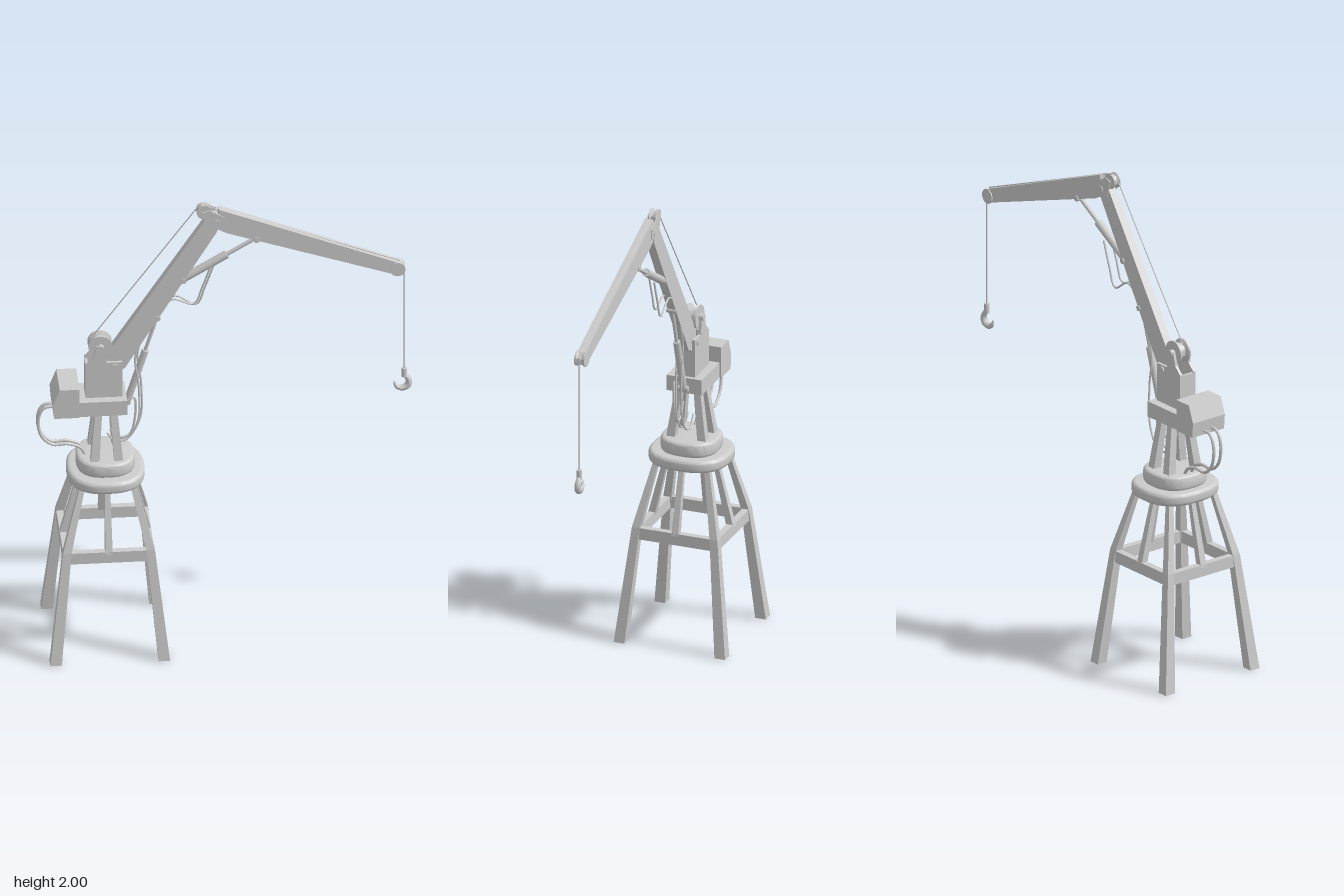
import * as THREE from 'three';
import { toCreasedNormals } from 'three/addons/utils/BufferGeometryUtils.js';

const mat = new THREE.MeshStandardMaterial({ color: 0xcccccc });
const V = (x, y, z = 0) => new THREE.Vector3(x, y, z);
const CX = -0.478; // axis of the pedestal

export function createModel() {
  const root = new THREE.Group();
  const add = (name, geo, parent = root) => {
    const m = new THREE.Mesh(geo, mat);
    m.name = name;
    parent.add(m);
    return m;
  };
  const group = (name) => {
    const g = new THREE.Group();
    g.name = name;
    root.add(g);
    return g;
  };
  const box = (name, w, h, d, x, y, z, parent) =>
    add(name, new THREE.BoxGeometry(w, h, d), parent).position.set(x, y, z);

  // Tapered square strut with level ends
  const strut = (name, a, b, wa, wb, parent) => {
    const g = new THREE.BoxGeometry(1, 1, 1), p = g.attributes.position;
    for (let i = 0; i < p.count; i++) {
      const [e, w] = p.getY(i) < 0 ? [a, wa] : [b, wb];
      p.setXYZ(i, e.x + p.getX(i) * w, e.y, e.z + p.getZ(i) * w);
    }
    g.computeVertexNormals();
    return add(name, g, parent);
  };
  // Round bar between two points
  const rod = (name, a, b, r, parent, sides = 12) => {
    const m = add(name, new THREE.CylinderGeometry(r, r, a.distanceTo(b), sides), parent);
    m.position.copy(a).lerp(b, 0.5);
    m.quaternion.setFromUnitVectors(V(0, 1, 0), b.clone().sub(a).normalize());
    return m;
  };
  // Side profile extruded evenly about z
  const plate = (name, pts, depth, z = 0, parent = root) => {
    const s = new THREE.Shape(pts.map(([x, y]) => new THREE.Vector2(x, y)));
    const g = new THREE.ExtrudeGeometry(s, { depth, bevelEnabled: false });
    return add(name, g.translate(0, 0, z - depth / 2), parent);
  };
  const hose = (name, pts, r, parent) =>
    add(name, new THREE.TubeGeometry(new THREE.CatmullRomCurve3(pts), 60, r, 8), parent);
  // Grooved wheel turned around z
  const wheel = (name, x, y, r, half, groove, parent) => {
    const prof = [[0, -half], [r, -half], [r, -half * 0.7], [groove, -half * 0.4],
      [groove, half * 0.4], [r, half * 0.7], [r, half], [0, half]];
    const g = new THREE.LatheGeometry(prof.map(([a, b]) => new THREE.Vector2(a, b)), 28);
    return add(name, toCreasedNormals(g.rotateX(Math.PI / 2), 0.6).translate(x, y, 0), parent);
  };

  // Pedestal: bent legs, frame and middle struts
  const base = group('pedestal');
  for (const sx of [-1, 1]) for (const sz of [-1, 1]) {
    const knee = V(CX + sx * 0.168, 0.49, sz * 0.168);
    strut('lowerLeg', V(CX + sx * 0.218, 0, sz * 0.218), knee, 0.046, 0.034, base);
    strut('upperLeg', knee, V(CX + sx * 0.1, 0.77, sz * 0.108), 0.034, 0.022, base);
  }
  for (const s of [-1, 1]) {
    box('frameBeam', 0.33, 0.05, 0.028, CX, 0.465, s * 0.17, base);
    box('frameBeam', 0.028, 0.05, 0.33, CX + s * 0.17, 0.465, 0, base);
    strut('middleStrut', V(CX, 0.48, s * 0.17), V(CX, 0.77, s * 0.1), 0.03, 0.02, base);
    strut('middleStrut', V(CX + s * 0.17, 0.48, 0), V(CX + s * 0.1, 0.77, 0), 0.03, 0.02, base);
  }

  // Slewing platform: two stacked rounded-square discs
  const disc = (name, rx, rz, y, h) => {
    const b = 0.016, pts = [];
    const sq = (t) => Math.sign(t) * Math.abs(t) ** 0.78;
    for (let i = 0; i < 56; i++) {
      const a = (i / 56) * Math.PI * 2;
      pts.push(new THREE.Vector2(sq(Math.cos(a)) * (rx - b), sq(Math.sin(a)) * (rz - b)));
    }
    const g = new THREE.ExtrudeGeometry(new THREE.Shape(pts),
      { depth: h - 2 * b, bevelThickness: b, bevelSize: b, bevelSegments: 4 });
    g.rotateX(-Math.PI / 2).translate(CX, y + b, 0);
    add(name, toCreasedNormals(g, 0.7));
  };
  disc('lowerPlatform', 0.157, 0.168, 0.748, 0.052);
  disc('upperPlatform', 0.119, 0.12, 0.795, 0.063);

  // Column of four leaning posts
  const column = group('column');
  for (const sx of [-1, 1]) for (const sz of [-1, 1])
    strut('post', V(CX + sx * 0.048, 0.85, sz * 0.068), V(CX + sx * 0.03, 1.08, sz * 0.038), 0.036, 0.028, column);

  // Rotating deck and machinery housing
  plate('deck', [[-0.6, 1.067], [-0.395, 1.067], [-0.395, 1.133], [-0.6, 1.133]], 0.152);
  plate('machineHousing', [[-0.69, 1.067], [-0.588, 1.067], [-0.588, 1.2], [-0.668, 1.2], [-0.695, 1.13]], 0.164);

  // Tower with cheek plates and walls
  const tower = group('tower');
  for (const s of [-1, 1]) {
    plate('cheekPlate', [[-0.56, 1.08], [-0.412, 1.08], [-0.412, 1.295], [-0.475, 1.295],
      [-0.488, 1.37], [-0.515, 1.37], [-0.53, 1.315], [-0.56, 1.285]], 0.012, s * 0.034, tower);
  }
  box('rearWall', 0.012, 0.2, 0.06, -0.554, 1.18, 0, tower);
  box('frontWall', 0.012, 0.17, 0.06, -0.418, 1.165, 0, tower);
  box('innerFloor', 0.13, 0.1, 0.06, -0.486, 1.16, 0, tower);

  // Winch drum
  wheel('winchDrum', -0.499, 1.362, 0.049, 0.026, 0.034);
  rod('winchAxle', V(-0.499, 1.362, -0.045), V(-0.499, 1.362, 0.045), 0.014);

  // Main boom with pivot pin
  plate('mainBoom', [[-0.475, 1.25], [-0.402, 1.25], [-0.03, 1.875], [-0.014, 1.93], [-0.03, 1.958],
    [-0.06, 1.955], [-0.087, 1.915], [-0.452, 1.352], [-0.48, 1.3]], 0.036);
  rod('boomPivot', V(-0.445, 1.275, -0.046), V(-0.445, 1.275, 0.046), 0.014);

  // Jib
  plate('jib', [[-0.022, 1.885], [0.01, 1.868], [0.67, 1.643], [0.705, 1.637], [0.728, 1.65],
    [0.725, 1.67], [0.7, 1.692], [-0.022, 1.98]], 0.036);
  rod('jibPivot', V(-0.03, 1.92, -0.026), V(-0.03, 1.92, 0.026), 0.016);
  for (const s of [-1, 1])
    plate('hingePlate', [[-0.07, 1.9], [-0.03, 1.885], [0.005, 1.91], [0, 1.945], [-0.06, 1.98], [-0.09, 1.97]],
      0.005, s * 0.02);
  wheel('topPulley', -0.079, 1.968, 0.032, 0.016, 0.025);
  wheel('tipPulley', 0.698, 1.662, 0.031, 0.022, 0.024);

  // Hydraulic rams
  const ram = (name, a, b, split, r) => {
    const g = group(name), mid = a.clone().lerp(b, split);
    rod('barrel', a, mid, r, g);
    rod('piston', mid, b, r * 0.5, g);
    for (const e of [a, b]) rod('pin', V(e.x, e.y, -0.022), V(e.x, e.y, 0.022), r * 0.75, g);
  };
  ram('boomRam', V(-0.388, 1.09), V(-0.268, 1.48), 0.6, 0.015);
  ram('jibRam', V(-0.165, 1.652), V(0.13, 1.83), 0.6, 0.017);

  // Cables
  const cables = group('cables');
  rod('winchCable', V(-0.528, 1.4), V(-0.105, 1.988), 0.0025, cables, 6);
  rod('jibCable', V(-0.075, 1.998), V(0.71, 1.692), 0.0025, cables, 6);
  rod('hoistCable', V(0.726, 1.665), V(0.726, 1.17), 0.0025, cables, 6);

  // Hook block, hook and tip
  const hook = group('hook');
  rod('hookSocket', V(0.726, 1.145), V(0.726, 1.185), 0.011, hook);
  const bend = new THREE.CatmullRomCurve3([[0.726, 1.155], [0.738, 1.14], [0.745, 1.12], [0.737, 1.1],
    [0.715, 1.092], [0.695, 1.1], [0.684, 1.125]].map(([x, y]) => V(x, y)));
  const shank = new THREE.TubeGeometry(bend, 30, 0.012, 10);
  const p = shank.attributes.position;
  // Narrow the tube towards the point of the hook
  for (let i = 0; i < p.count; i++) {
    const t = Math.floor(i / 11) / 30, c = bend.getPointAt(t);
    const k = 0.7 + 0.5 * Math.sin(Math.PI * t) - 0.55 * t ** 4;
    p.setXYZ(i, c.x + (p.getX(i) - c.x) * k, c.y + (p.getY(i) - c.y) * k, p.getZ(i) * k);
  }
  shank.computeVertexNormals();
  add('hookBend', shank, hook);

  // Hoses: rear loops, and lines rising along the boom
  const hoses = group('hoses');
  for (const s of [-1, 1]) {
    hose('rearHose', [[-0.67, 1.085], [-0.725, 1.078], [-0.748, 1.03], [-0.735, 0.945], [-0.69, 0.905],
      [-0.63, 0.905], [-0.58, 0.885], [-0.56, 0.85]].map(([x, y]) => V(x, y + s * 0.003, s * 0.018)), 0.0065, hoses);
    hose('boomHose', [[-0.46, 0.95], [-0.425, 0.905], [-0.375, 0.92], [-0.335, 1.0], [-0.332, 1.16], [-0.345, 1.31],
      [-0.285, 1.46], [-0.2, 1.565], [-0.11, 1.52], [-0.075, 1.6], [-0.04, 1.7]]
      .map(([x, y], i) => V(x - (s > 0 ? 0.012 : 0), y + (s > 0 && i > 7 ? 0.02 : 0), s * 0.014)), 0.0042, hoses);
  }
  hose('deckHose', [[-0.4, 1.1], [-0.365, 1.12], [-0.36, 1.03], [-0.385, 0.945], [-0.43, 0.94], [-0.46, 1.0]]
    .map(([x, y]) => V(x, y, 0.03)), 0.005, hoses);

  return root;
}
